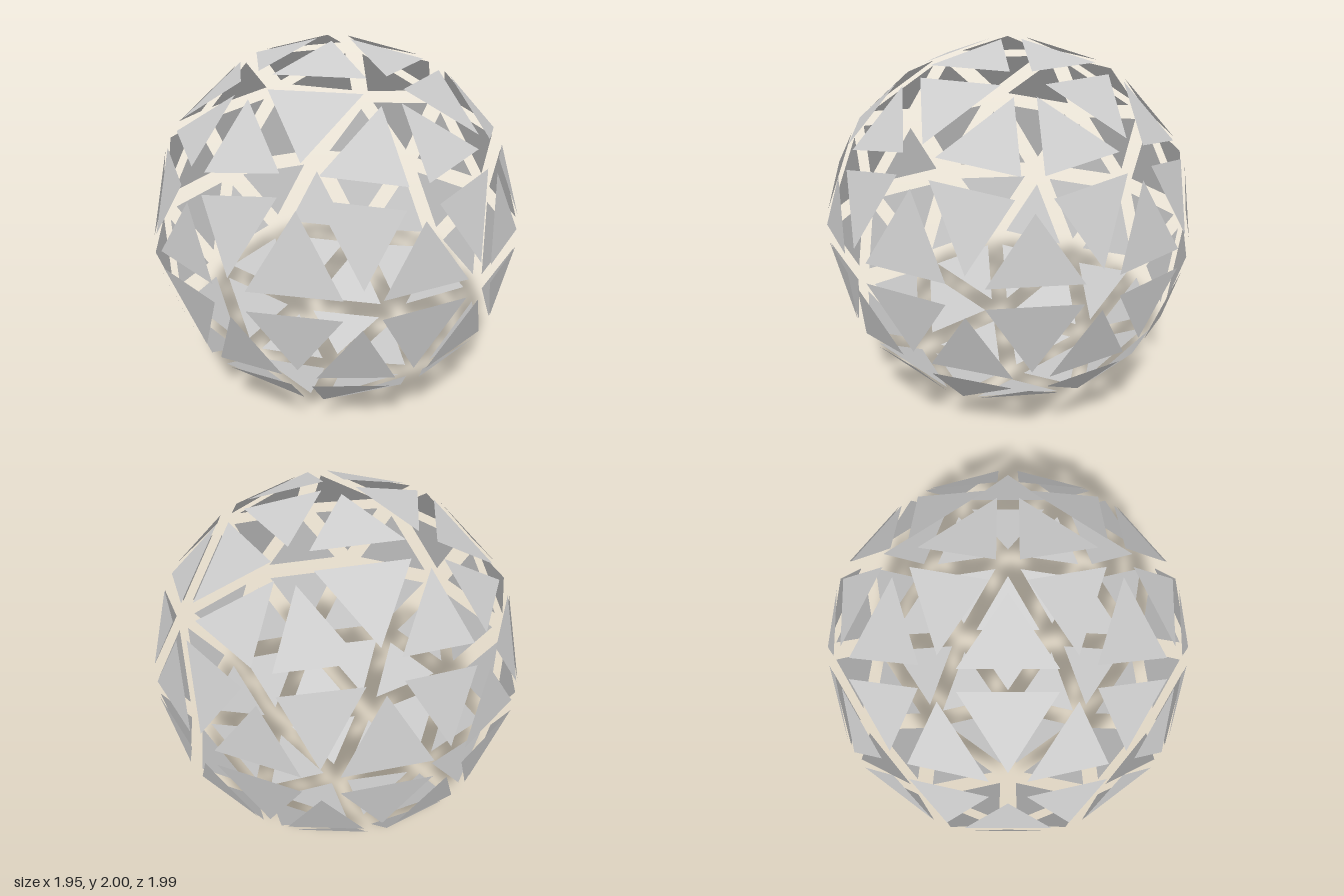
import * as THREE from 'three';

const RADIUS = 1.0308; // sphere the panel corners are laid out on
const SHRINK = 0.7;    // panel size relative to its full cell

export function createModel() {
  const group = new THREE.Group();
  group.name = 'panelSphere';
  const material = new THREE.MeshStandardMaterial({
    color: 0xcccccc, flatShading: true, side: THREE.DoubleSide,
  });

  // Twice-divided icosahedron, turned so that one of its corners points straight up
  const cells = new THREE.IcosahedronGeometry(RADIUS, 1);
  cells.rotateZ(-Math.atan(2 / (1 + Math.sqrt(5))));
  const pos = cells.attributes.position;

  // One flat, separate panel per cell, shrunk towards the cell's centre
  for (let i = 0; i < pos.count; i += 3) {
    const corners = [0, 1, 2].map((k) => new THREE.Vector3().fromBufferAttribute(pos, i + k));
    const centre = new THREE.Vector3();
    corners.forEach((c) => centre.addScaledVector(c, 1 / 3));
    corners.forEach((c) => c.sub(centre).multiplyScalar(SHRINK));

    const geometry = new THREE.BufferGeometry().setFromPoints(corners);
    geometry.computeVertexNormals();
    const panel = new THREE.Mesh(geometry, material);
    panel.name = `trianglePanel${i / 3 + 1}`;
    panel.position.copy(centre).setY(centre.y + 1);
    group.add(panel);
  }
  return group;
}
